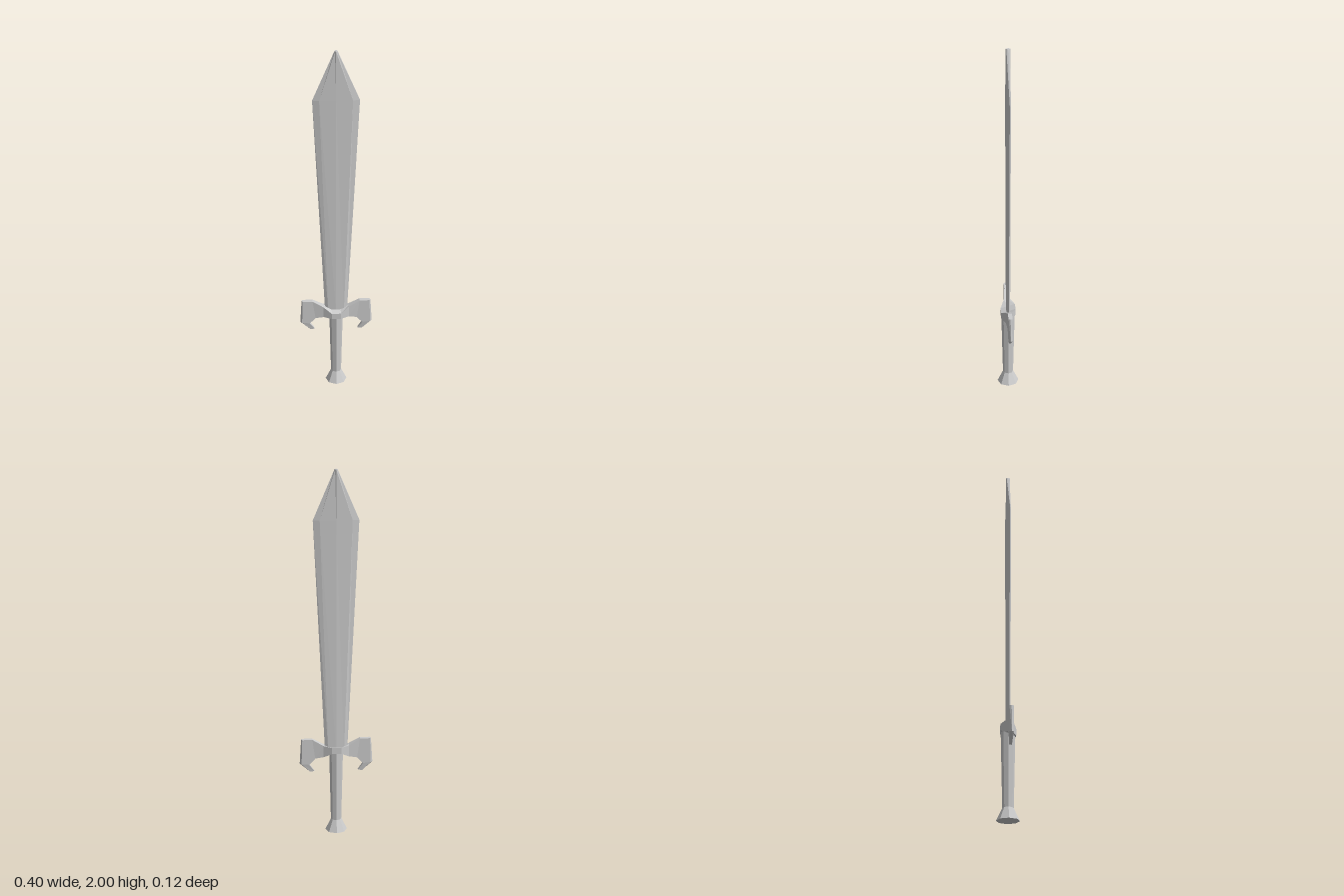
import * as THREE from 'three';

const material = new THREE.MeshStandardMaterial({ color: 0xcccccc, flatShading: true });

function addMesh(group, geometry, name) {
  const mesh = new THREE.Mesh(geometry, material);
  mesh.name = name;
  group.add(mesh);
  return mesh;
}

// Eight-sided turned part from [radius, y] pairs, closed at both ends
function turned(profile) {
  const points = profile.map(([r, y]) => new THREE.Vector2(r, y));
  points.unshift(new THREE.Vector2(0, profile[0][1]));
  points.push(new THREE.Vector2(0, profile[profile.length - 1][1]));
  return new THREE.LatheGeometry(points, 8);
}

// Skin a row of closed rings and cap both ends
function loft(rings) {
  const n = rings[0].length;
  const index = [];
  for (let i = 0; i < rings.length - 1; i++) {
    for (let j = 0; j < n; j++) {
      const a = i * n + j, d = i * n + (j + 1) % n;
      index.push(a, a + n, d + n, a, d + n, d);
    }
  }
  const last = (rings.length - 1) * n;
  for (let j = 1; j < n - 1; j++) {
    index.push(0, j, j + 1, last, last + j + 1, last + j);
  }
  const geometry = new THREE.BufferGeometry();
  geometry.setAttribute('position', new THREE.Float32BufferAttribute(rings.flat(2), 3));
  geometry.setIndex(index);
  const flat = geometry.toNonIndexed();
  flat.computeVertexNormals();
  return flat;
}

// Guard wing stations, centre to hook tip:
// outer edge x, y; inner edge x, y; half thickness; ridge bulge; lift of the back
const wing = [
  [0.025, 0.475, 0.025, 0.44, 0.04, 0, 0.025],
  [0.07, 0.505, 0.07, 0.44, 0.018, 0, 0],
  [0.13, 0.54, 0.115, 0.43, 0.011, 0, 0],
  [0.185, 0.54, 0.132, 0.41, 0.011, 0.006, 0],
  [0.19, 0.4, 0.148, 0.395, 0.011, 0.01, 0],
  [0.143, 0.352, 0.12, 0.355, 0.006, 0.002, 0],
];

function guardRing([ox, oy, ix, iy, z, bulge, lift], side) {
  return [
    [side * ox, oy, z],
    [side * (ox + bulge), oy + lift / 2, 0],
    [side * ox, oy + lift, -z],
    [side * ix, iy + lift, -z],
    [side * ix, iy, z],
  ];
}

export function createModel() {
  const sword = new THREE.Group();
  sword.name = 'sword';

  // Flared pommel and slightly swelling grip
  addMesh(sword, turned([[0.06, 0], [0.029, 0.065]]), 'pommel');
  addMesh(sword, turned([[0.029, 0.065], [0.038, 0.47]]), 'grip');

  // Winged guard, lofted from one hook across to the other
  const left = wing.map((s) => guardRing(s, 1));
  const right = wing.map((s) => guardRing(s, -1)).reverse();
  addMesh(sword, loft([...right, ...left]), 'guard');

  // Blade: flat eight-sided section of constant thickness, widening to the point
  const blade = [[0.45, 0.06], [1.74, 0.12], [2, 0.008]];
  const rings = blade.map(([y, w]) => Array.from({ length: 8 }, (_, k) => {
    const a = (k / 8) * Math.PI * 2;
    return [w * Math.cos(a), y, -0.012 * Math.sin(a)];
  }));
  // Rings run clockwise for the skin to face outward
  addMesh(sword, loft(rings.map((r) => r.reverse())), 'blade');

  return sword;
}
